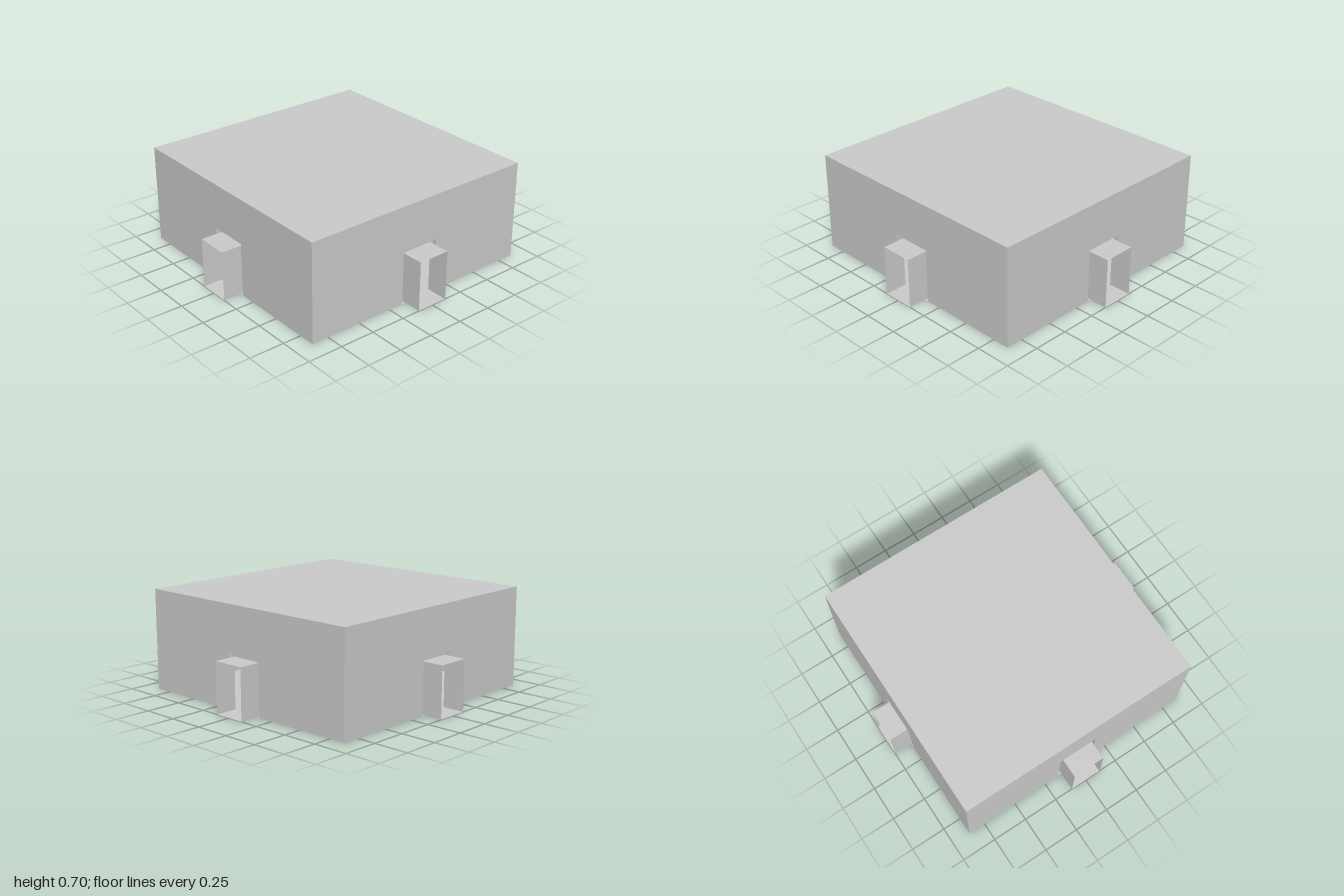
import * as THREE from 'three';

const HALF = 0.87, HEIGHT = 0.7, SKIN = 0.028;   // room shell and wall thickness
const DOOR = { w: 0.115, h: 0.352 };             // passage half width and height
const GAP = { w: 0.14, h: 0.38 };                // larger opening in the outer skin

const material = new THREE.MeshStandardMaterial({
  color: 0xcccccc, side: THREE.DoubleSide, flatShading: true,
});

function add(parent, geometry, name) {
  const mesh = new THREE.Mesh(geometry, material);
  mesh.name = name;
  parent.add(mesh);
  return mesh;
}

// Flat wall with a doorway notched into its lower edge
function wall(half, height, door, z) {
  const shape = new THREE.Shape([
    [-half, 0], [-door.w, 0], [-door.w, door.h], [door.w, door.h],
    [door.w, 0], [half, 0], [half, height], [-half, height],
  ].map(([x, y]) => new THREE.Vector2(x, y)));
  return new THREE.ShapeGeometry(shape).translate(0, 0, z);
}

// Thin sleeve following a doorway outline from z0 to z1
function sleeve({ w, h }, z0, z1, withFloor) {
  const outline = [[-w, 0], [-w, h], [w, h], [w, 0]];
  if (withFloor) outline.push([-w, 0]);
  const pos = [];
  for (let i = 0; i < outline.length - 1; i++) {
    const p = outline[i], q = outline[i + 1];
    const a = [...p, z0], b = [...q, z0], c = [...q, z1], d = [...p, z1];
    pos.push(...a, ...c, ...b, ...a, ...d, ...c);
  }
  const geometry = new THREE.BufferGeometry();
  geometry.setAttribute('position', new THREE.Float32BufferAttribute(pos, 3));
  geometry.computeVertexNormals();
  return geometry;
}

export function createModel() {
  const model = new THREE.Group();
  model.name = 'roomWithPassages';
  const inner = HALF - SKIN;

  // Four identical sides, each with a doorway and a short open passage
  ['front', 'left', 'back', 'right'].forEach((name, i) => {
    const side = new THREE.Group();
    side.name = name + 'Side';
    side.rotation.y = i * Math.PI / 2;
    add(side, wall(HALF, HEIGHT, GAP, HALF), 'outerWall');
    add(side, wall(inner, HEIGHT - SKIN, DOOR, inner), 'innerWall');
    add(side, sleeve(GAP, inner, HALF, false), 'doorReveal');
    add(side, sleeve(DOOR, HALF, 1, true), 'passage');
    add(side, sleeve(DOOR, inner, HALF, false), 'passageThroat');
    model.add(side);
  });

  // Roof, ceiling and floor
  const slab = (half, y, turn) =>
    new THREE.PlaneGeometry(half * 2, half * 2).rotateX(turn * Math.PI / 2).translate(0, y, 0);
  add(model, slab(HALF, HEIGHT, -1), 'roof');
  add(model, slab(inner, HEIGHT - SKIN, 1), 'ceiling');
  add(model, slab(HALF, 0, 1), 'floor');
  return model;
}
